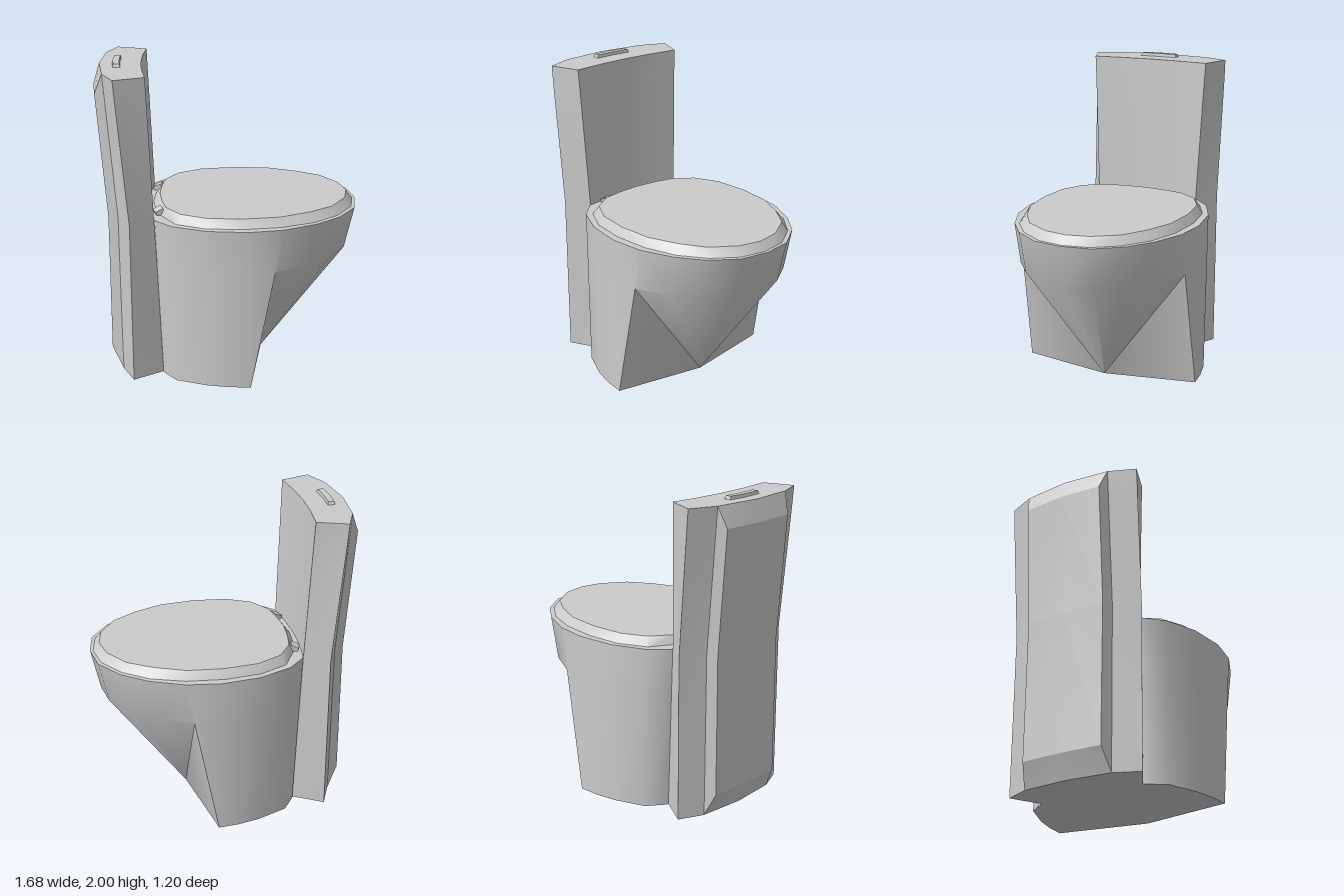
import * as THREE from 'three';
import { toCreasedNormals } from 'three/addons/utils/BufferGeometryUtils.js';

const material = new THREE.MeshStandardMaterial({ color: 0xcccccc });

// Joins half outlines [x, z], mirrored over z = 0, stacked from bottom to top; both ends capped.
function loft(name, levels, crease = 0.6) {
  const rings = levels.map(({ y, half }) => {
    const mirrored = half.slice(1, -1).reverse().map(([x, z]) => [x, -z]);
    return [...half, ...mirrored].map(([x, z]) => new THREE.Vector3(x, y, z));
  });
  const n = rings[0].length;
  const halfCount = levels[0].half.length - 1;
  const points = [];

  for (let r = 0; r < rings.length - 1; r++) {
    const A = rings[r], B = rings[r + 1];
    for (let i = 0; i < n; i++) {
      const j = (i + 1) % n;
      // The diagonal is mirrored on the second half
      if (i < halfCount) points.push(A[i], B[i], B[j], A[i], B[j], A[j]);
      else points.push(A[i], B[i], A[j], B[i], B[j], A[j]);
    }
  }

  const cap = (ring, up) => {
    const flat = ring.map((p) => new THREE.Vector2(p.x, p.z));
    for (const [a, b, c] of THREE.ShapeUtils.triangulateShape(flat, [])) {
      const facesDown = THREE.ShapeUtils.area([flat[a], flat[b], flat[c]]) > 0;
      if (facesDown === up) points.push(ring[a], ring[c], ring[b]);
      else points.push(ring[a], ring[b], ring[c]);
    }
  };
  cap(rings[0], false);
  cap(rings[rings.length - 1], true);

  const geometry = new THREE.BufferGeometry().setFromPoints(points);
  const mesh = new THREE.Mesh(toCreasedNormals(geometry, crease), material);
  mesh.name = name;
  return mesh;
}

export function createModel() {
  const model = new THREE.Group();
  model.name = 'toilet';

  // Bowl: the front of the rim tapers to one point at the floor, leaving flat side panels
  const rim = [[0.84, 0], [0.81, 0.19], [0.69, 0.36], [0.53, 0.48], [0.32, 0.57],
    [0.1, 0.6], [-0.15, 0.57], [-0.36, 0.48], [-0.47, 0.37], [-0.55, 0]];
  const waist = [[0.78, 0], [0.75, 0.18], [0.64, 0.345], [0.48, 0.47], [0.27, 0.575],
    [0.07, 0.597], [-0.15, 0.568], [-0.357, 0.48], [-0.46, 0.37], [-0.55, 0]];
  const foot = [[0.23, 0], [0.23, 0], [0.23, 0], [0.23, 0], [0.12, 0.6],
    [-0.01, 0.59], [-0.15, 0.56], [-0.35, 0.48], [-0.43, 0.37], [-0.55, 0]];
  model.add(loft('bowl', [
    { y: 0, half: foot },
    { y: 0.785, half: waist },
    { y: 1.06, half: rim },
  ]));

  // Lid with a bevelled edge
  model.add(loft('lid', [
    { y: 1.06, half: [[0.82, 0], [0.79, 0.17], [0.68, 0.33], [0.52, 0.45], [0.31, 0.525], [0.07, 0.55],
      [-0.16, 0.525], [-0.34, 0.44], [-0.43, 0.28], [-0.465, 0.15], [-0.48, 0]] },
    { y: 1.115, half: [[0.78, 0], [0.75, 0.15], [0.645, 0.31], [0.49, 0.41], [0.3, 0.49], [0.07, 0.512],
      [-0.15, 0.49], [-0.31, 0.41], [-0.4, 0.28], [-0.425, 0.15], [-0.437, 0]] },
  ], 0.5));

  // Tank: curved front, raised back panel that blends in at the top and bottom
  // Values per level: front centre, front corner, outer back corner, panel base, panel edge, panel centre
  const tankLevels = [
    [0, -0.46, [-0.43, 0.35], [-0.625, 0.46], [-0.695, 0.3], [-0.695, 0.3], -0.72],
    [0.15, -0.466, [-0.437, 0.352], [-0.625, 0.46], [-0.697, 0.3], [-0.765, 0.27], -0.775],
    [1.06, -0.503, [-0.475, 0.36], [-0.625, 0.46], [-0.7, 0.3], [-0.762, 0.27], -0.77],
    [1.85, -0.535, [-0.505, 0.393], [-0.69, 0.47], [-0.76, 0.3], [-0.82, 0.27], -0.84],
    [1.98, -0.54, [-0.51, 0.4], [-0.7, 0.47], [-0.77, 0.3], [-0.77, 0.3], -0.8],
  ];
  model.add(loft('tank', tankLevels.map(([y, front, corner, outer, base, edge, back]) => ({
    y,
    half: [[front, 0], [front + 0.008, corner[1] / 2], corner, outer, base, edge, [back, 0]],
  })), 0.35));

  // Flush button, slightly bowed
  model.add(loft('flushButton', [
    { y: 1.975, half: [[-0.67, 0], [-0.664, 0.13], [-0.712, 0.13], [-0.72, 0]] },
    { y: 2, half: [[-0.674, 0], [-0.669, 0.12], [-0.707, 0.12], [-0.715, 0]] },
  ], 0.3));

  // Lid hinges
  for (const side of [1, -1]) {
    const hinge = new THREE.Mesh(new THREE.BoxGeometry(0.055, 0.04, 0.07), material);
    hinge.position.set(-0.443, 1.075, side * 0.24);
    hinge.rotation.set(0, side * 0.25, 0.4);
    hinge.name = side > 0 ? 'hingeFrontSide' : 'hingeBackSide';
    model.add(hinge);
  }
  return model;
}
